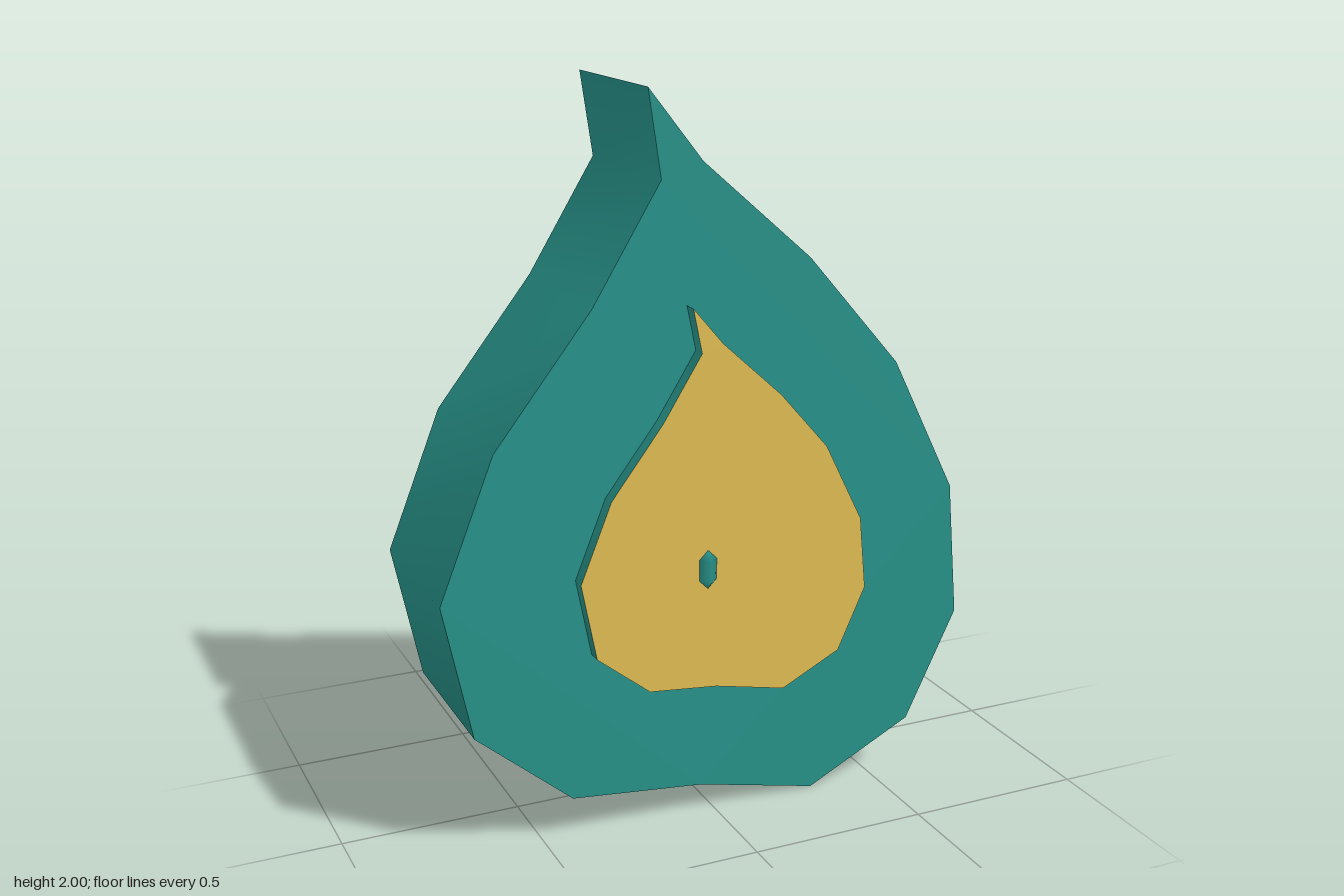
import * as THREE from 'three';
import { toCreasedNormals } from 'three/addons/utils/BufferGeometryUtils.js';

// Outlines run counter-clockwise from the tip
const OUTER = [
  [-0.19, 2], [-0.155, 1.77], [-0.345, 1.46], [-0.615, 1.115], [-0.768, 0.73],
  [-0.69, 0.35], [-0.42, 0.12], [-0.04, 0.08], [0.305, 0], [0.615, 0.155],
  [0.765, 0.465], [0.73, 0.85], [0.54, 1.23], [0.27, 1.54], [-0.04, 1.81],
];
const INNER = [
  [-0.085, 1.445], [-0.06, 1.325], [-0.17, 1.15], [-0.315, 0.96], [-0.402, 0.745],
  [-0.36, 0.53], [-0.21, 0.41], [-0.015, 0.39], [0.19, 0.345], [0.36, 0.43],
  [0.44, 0.605], [0.42, 0.81], [0.31, 1.03], [0.17, 1.19], [0, 1.345],
];

// Slab centred on z = 0, smooth round the rim and sharp at the faces
function slab(name, points, depth, materials) {
  const shape = new THREE.Shape(points.map(([x, y]) => new THREE.Vector2(x, y)));
  const geometry = new THREE.ExtrudeGeometry(shape, { depth, bevelEnabled: false });
  geometry.translate(0, 0, -depth / 2);
  const mesh = new THREE.Mesh(toCreasedNormals(geometry, 1), materials);
  mesh.name = name;
  return mesh;
}

export function createModel() {
  const teal = new THREE.MeshStandardMaterial({ color: 0x28948b });
  teal.name = 'teal';
  const gold = new THREE.MeshStandardMaterial({ color: 0xe3bf54 });
  gold.name = 'gold';

  const model = new THREE.Group();
  model.name = 'flameDrop';

  // Thick outer drop, and the inner drop standing proud of both faces
  model.add(slab('outerDrop', OUTER, 0.46, teal));
  model.add(slab('innerDrop', INNER, 0.54, [gold, teal]));

  // Small four-sided pupil half sunk into each face
  const pupil = new THREE.CapsuleGeometry(0.0275, 0.058, 1, 4);
  for (const side of [1, -1]) {
    const mesh = new THREE.Mesh(pupil, teal);
    mesh.name = side > 0 ? 'frontPupil' : 'backPupil';
    mesh.position.set(-0.041, 0.733, side * 0.268);
    model.add(mesh);
  }
  return model;
}
